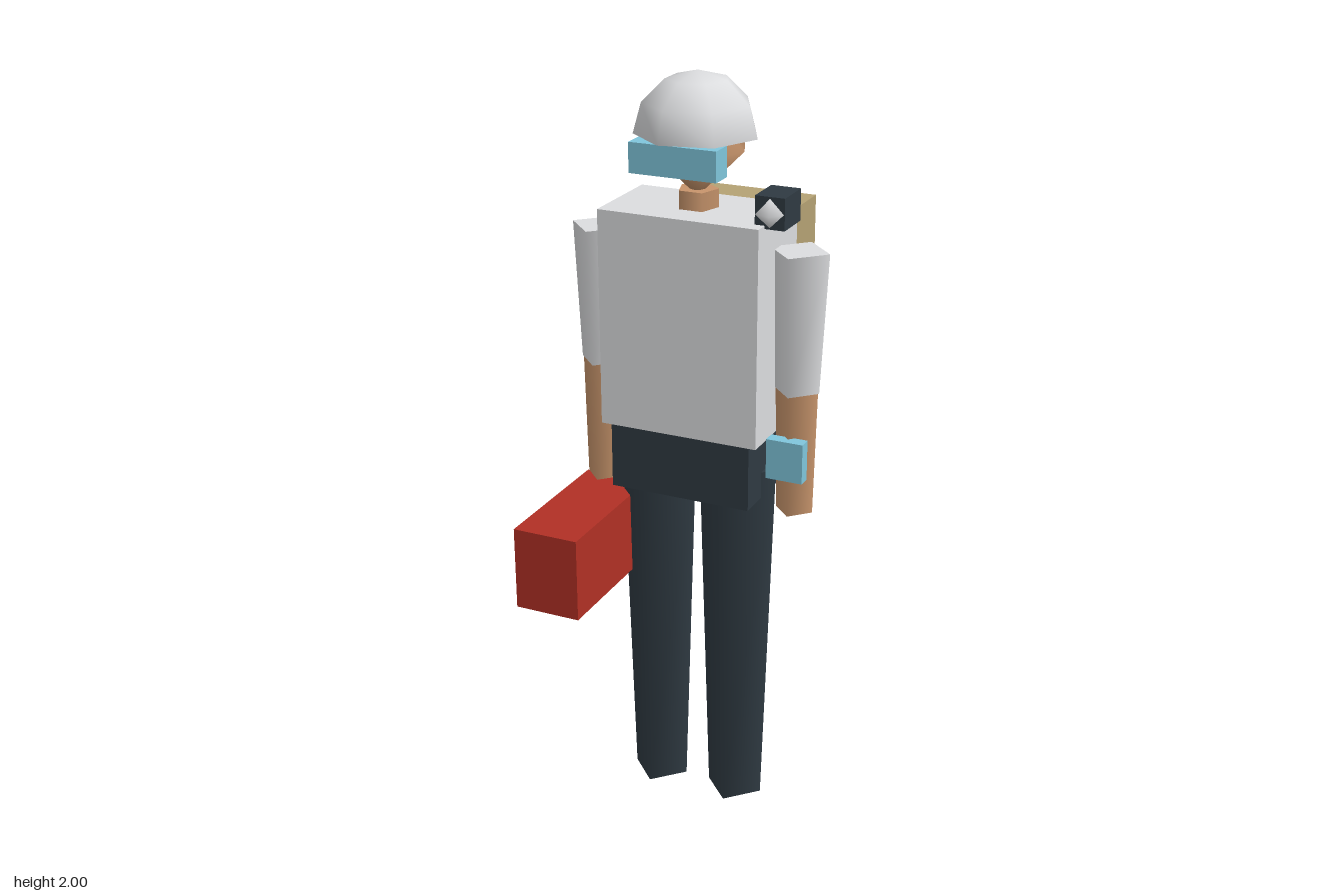
import * as THREE from 'three';

const material = (name, color, side = THREE.FrontSide) => {
  const m = new THREE.MeshStandardMaterial({ color, side });
  m.name = name;
  return m;
};

export function createModel() {
  const group = new THREE.Group();
  const white = material('offWhite', 0xdcdddf, THREE.DoubleSide);
  const dark = material('darkSlate', 0x2f3a42);
  const skin = material('skin', 0xc8956c);
  const blue = material('lightBlue', 0x80c6dc);
  const tan = material('tan', 0xb5a274);
  const red = material('red', 0xb13025);
  const CX = 0.005, CZ = 0.015; // body axis

  const add = (name, geometry, mat, x, y, z) => {
    const mesh = new THREE.Mesh(geometry, mat);
    mesh.name = name;
    mesh.position.set(x, y, z);
    group.add(mesh);
    return mesh;
  };
  // box given by its limits on each axis
  const box = (name, mat, [x0, x1], [y0, y1], [z0, z1]) =>
    add(name, new THREE.BoxGeometry(x1 - x0, y1 - y0, z1 - z0), mat,
      (x0 + x1) / 2, (y0 + y1) / 2, (z0 + z1) / 2);
  // upright tapered limb with few sides
  const limb = (name, mat, x, y0, y1, rBottom, rTop, sides = 4) =>
    add(name, new THREE.CylinderGeometry(rTop, rBottom, y1 - y0, sides), mat, x, (y0 + y1) / 2, CZ);

  // torso and hips
  box('torso', white, [-0.21, 0.22], [1.095, 1.663], [-0.11, 0.14]);
  box('hips', dark, [-0.187, 0.197], [0.918, 1.095], [-0.095, 0.13]);

  // arms and legs
  for (const [side, s] of [['left', 1], ['right', -1]]) {
    limb(side + 'Sleeve', white, CX + s * 0.273, 1.22, 1.585, 0.06, 0.078);
    limb(side + 'Forearm', skin, CX + s * 0.273, 0.89, 1.22, 0.05, 0.057);
    limb(side + 'Leg', dark, CX + s * 0.113, 0, 0.99, 0.078, 0.108);
  }

  // neck and head
  limb('neck', skin, CX, 1.65, 1.71, 0.053, 0.053, 5).rotation.y = Math.PI;
  add('head', new THREE.SphereGeometry(0.124, 8, 2), skin, CX, 1.813, CZ);

  // open half-dome helmet
  const helmet = add('helmet',
    new THREE.SphereGeometry(0.158, 7, 3, 0, Math.PI * 2, 0, Math.PI / 2), white, CX, 1.846, CZ);
  helmet.rotation.y = Math.PI;
  helmet.scale.y = 0.154 / 0.158;

  // equipment
  box('goggles', blue, [-0.11, 0.12], [1.77, 1.846], [0.1, 0.163]);
  box('wristScreen', blue, [0.228, 0.326], [1.0, 1.107], [0.056, 0.09]);
  box('shoulderLamp', dark, [0.194, 0.271], [1.655, 1.735], [0, 0.102]);
  add('lampBulb', new THREE.SphereGeometry(0.036, 5, 2), white, 0.233, 1.695, 0.103).rotation.y = Math.PI;
  box('backpack', tan, [-0.165, 0.175], [1.143, 1.618], [-0.357, -0.155]);
  box('carryCase', red, [-0.358, -0.178], [0.63, 0.855], [-0.052, 0.357]);

  return group;
}
